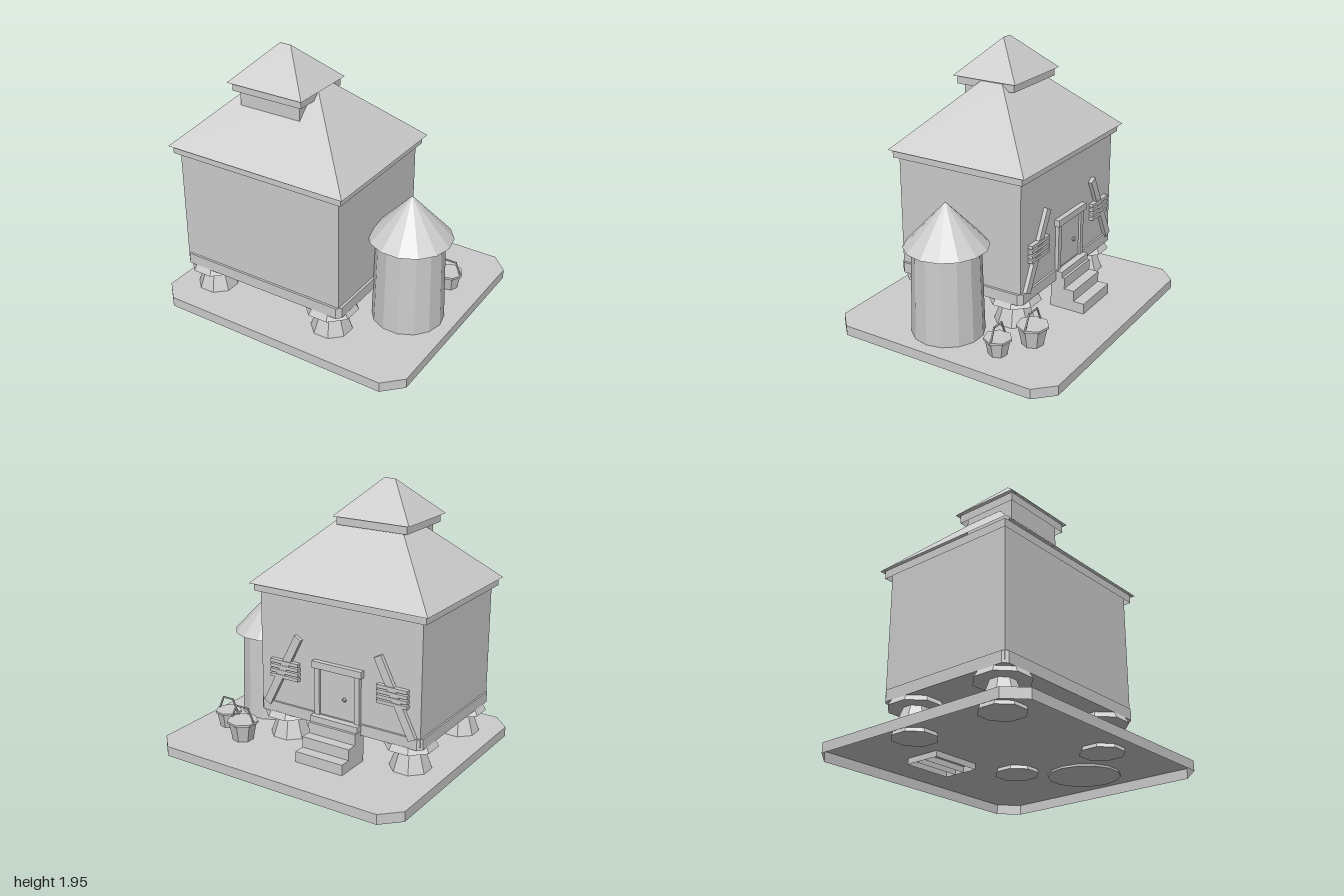
import * as THREE from 'three';

const stone = new THREE.MeshStandardMaterial({ color: 0xcccccc, flatShading: true, side: THREE.DoubleSide });
stone.name = 'pale grey';

// Removes the faces lying on the lowest level, leaving a shell open below
function openBelow(geometry) {
  const g = geometry.index ? geometry.toNonIndexed() : geometry;
  g.computeBoundingBox();
  const low = g.boundingBox.min.y + 1e-4;
  const p = g.attributes.position;
  const kept = [];
  for (let i = 0; i < p.count; i += 3) {
    if ([0, 1, 2].some((k) => p.getY(i + k) > low)) kept.push(i, i + 1, i + 2);
  }
  g.setIndex(kept);
  g.clearGroups();
  return g;
}

export function createModel() {
  const model = new THREE.Group();

  const add = (name, geometry, x = 0, y = 0, z = 0, parent = model) => {
    const mesh = new THREE.Mesh(geometry, stone);
    mesh.name = name;
    mesh.position.set(x, y, z);
    parent.add(mesh);
    return mesh;
  };
  // Box given by its limits on each axis
  const block = (name, x0, x1, y0, y1, z0, z1) =>
    add(name, new THREE.BoxGeometry(x1 - x0, y1 - y0, z1 - z0),
      (x0 + x1) / 2, (y0 + y1) / 2, (z0 + z1) / 2);
  // Four outer faces of a box, open above and below
  const sleeve = (name, x0, x1, y0, y1, z0, z1) => {
    const r = Math.SQRT1_2;
    const g = new THREE.CylinderGeometry(r, r, y1 - y0, 4, 1, true, Math.PI / 4);
    g.scale(x1 - x0, 1, z1 - z0);
    return add(name, g, (x0 + x1) / 2, (y0 + y1) / 2, (z0 + z1) / 2);
  };
  // Hipped roof shell: a box whose top corners move in to the ridge rectangle
  const hipRoof = (name, [x0, x1, z0, z1], [tx0, tx1, tz0, tz1], y0, y1) => {
    const g = new THREE.BoxGeometry(2, 2, 2);
    const p = g.attributes.position;
    for (let i = 0; i < p.count; i++) {
      const top = p.getY(i) > 0, right = p.getX(i) > 0, front = p.getZ(i) > 0;
      p.setXYZ(i,
        top ? (right ? tx1 : tx0) : (right ? x1 : x0),
        top ? y1 : y0,
        top ? (front ? tz1 : tz0) : (front ? z1 : z0));
    }
    g.computeVertexNormals();
    return add(name, openBelow(g));
  };
  // Many-sided drum standing between two heights
  const drum = (name, sides, rTop, rBottom, x, y0, y1, z, turn, parent) =>
    add(name, new THREE.CylinderGeometry(rTop, rBottom, y1 - y0, sides, 1, false, turn),
      x, (y0 + y1) / 2, z, parent);
  // Slab with cut corners
  const cutSlab = (x0, x1, z0, z1, c, height) => {
    const shape = new THREE.Shape([
      [x0 + c, z0], [x1 - c, z0], [x1, z0 + c], [x1, z1 - c],
      [x1 - c, z1], [x0 + c, z1], [x0, z1 - c], [x0, z0 + c],
    ].map(([x, z]) => new THREE.Vector2(x, -z)));
    return new THREE.ExtrudeGeometry(shape, { depth: height, bevelEnabled: false }).rotateX(-Math.PI / 2);
  };

  // Hollow ground slab
  add('groundSlab', openBelow(cutSlab(-1, 1, -0.88, 0.88, 0.13, 0.072)));

  // Flared legs with overhanging cap stones
  for (const x of [-0.722, 0.283]) {
    for (const z of [0.537, -0.19]) {
      drum('leg', 8, 0.084, 0.158, x, 0.045, 0.25, z, Math.PI / 8);
      drum('legCap', 8, 0.165, 0.191, x, 0.24, 0.285, z, Math.PI / 8);
    }
  }

  // House body
  add('floorBand', cutSlab(-0.877, 0.446, -0.34, 0.691, 0.03, 0.08), 0, 0.28, 0);
  block('walls', -0.865, 0.428, 0.3, 1.225, -0.325, 0.675);
  sleeve('eaveBand', -0.902, 0.462, 1.168, 1.227, -0.356, 0.706);
  hipRoof('mainRoof', [-0.925, 0.487, -0.385, 0.73], [-0.445, 0.007, 0.088, 0.263], 1.225, 1.68);

  // Small raised roof
  block('cupola', -0.513, -0.032, 1.52, 1.69, 0.03, 0.428);
  sleeve('cupolaEave', -0.55, 0.005, 1.63, 1.692, -0.005, 0.464);
  hipRoof('cupolaRoof', [-0.577, 0.025, -0.028, 0.489], [-0.318, -0.232, 0.229, 0.231], 1.69, 1.945);

  // Round store beside the house
  drum('siloBody', 14, 0.238, 0.257, 0.655, 0.057, 0.72, 0.12, Math.PI / 2);
  add('siloRoof', new THREE.ConeGeometry(0.296, 0.314, 14, 1, true, Math.PI / 2), 0.655, 0.871, 0.12);

  // Hollow back steps
  [[0.15, -0.57, -0.487], [0.23, -0.487, -0.41], [0.31, -0.41, -0.3]].forEach(([top, z0, z1]) =>
    add('step', openBelow(new THREE.BoxGeometry(0.38, top - 0.03, z1 - z0)),
      -0.22, (top + 0.03) / 2, (z0 + z1) / 2));

  // Back door
  block('door', -0.365, -0.08, 0.34, 0.71, -0.335, -0.32);
  block('doorPostLeft', -0.08, -0.04, 0.34, 0.71, -0.352, -0.32);
  block('doorPostRight', -0.405, -0.365, 0.34, 0.71, -0.352, -0.32);
  block('lintel', -0.425, -0.025, 0.7, 0.75, -0.364, -0.32);
  block('threshold', -0.415, -0.028, 0.31, 0.355, -0.39, -0.32);
  add('doorKnob', new THREE.IcosahedronGeometry(0.017, 0), -0.28, 0.51, -0.342);

  // Leaning planks crossed by slats, mirrored on both sides of the door
  for (const side of [1, -1]) {
    const rack = new THREE.Group();
    rack.name = side > 0 ? 'leftPlankRack' : 'rightPlankRack';
    rack.position.x = -0.222;
    const plank = add('plank', new THREE.BoxGeometry(0.06, 0.6, 0.034), side * 0.457, 0.617, -0.337, rack);
    plank.rotation.z = side * 0.47;
    for (let i = 0; i < 4; i++) {
      const y = 0.572 + i * 0.036;
      add('slat', new THREE.BoxGeometry(0.235, 0.024, 0.04), side * 0.437, y, -0.339, rack);
    }
    model.add(rack);
  }

  // Filled buckets with peaked handles
  const bucket = (x, z, r, rim, peak) => {
    const g = new THREE.Group();
    g.name = 'bucket';
    g.position.set(x, 0, z);
    const turn = Math.PI / 2;
    drum('bucketBody', 7, r * 0.9, r * 0.66, 0, 0.072, rim - 0.01, 0, turn, g);
    drum('bucketRim', 7, r, r, 0, rim - 0.016, rim, 0, turn, g);
    const pts = [[-0.88, rim - 0.005], [-0.45, peak], [0.45, peak], [0.88, rim - 0.005]];
    for (let i = 0; i < 3; i++) {
      const [ax, ay] = pts[i], [bx, by] = pts[i + 1];
      const dx = (bx - ax) * r, dy = by - ay;
      const bar = add('bucketHandle', new THREE.BoxGeometry(Math.hypot(dx, dy) + 0.01, 0.01, 0.01),
        (ax + bx) * r / 2, (ay + by) / 2, 0, g);
      bar.rotation.z = Math.atan2(dy, dx);
    }
    model.add(g);
  };
  bucket(0.508, -0.473, 0.115, 0.218, 0.315);
  bucket(0.743, -0.345, 0.098, 0.195, 0.285);

  return model;
}
